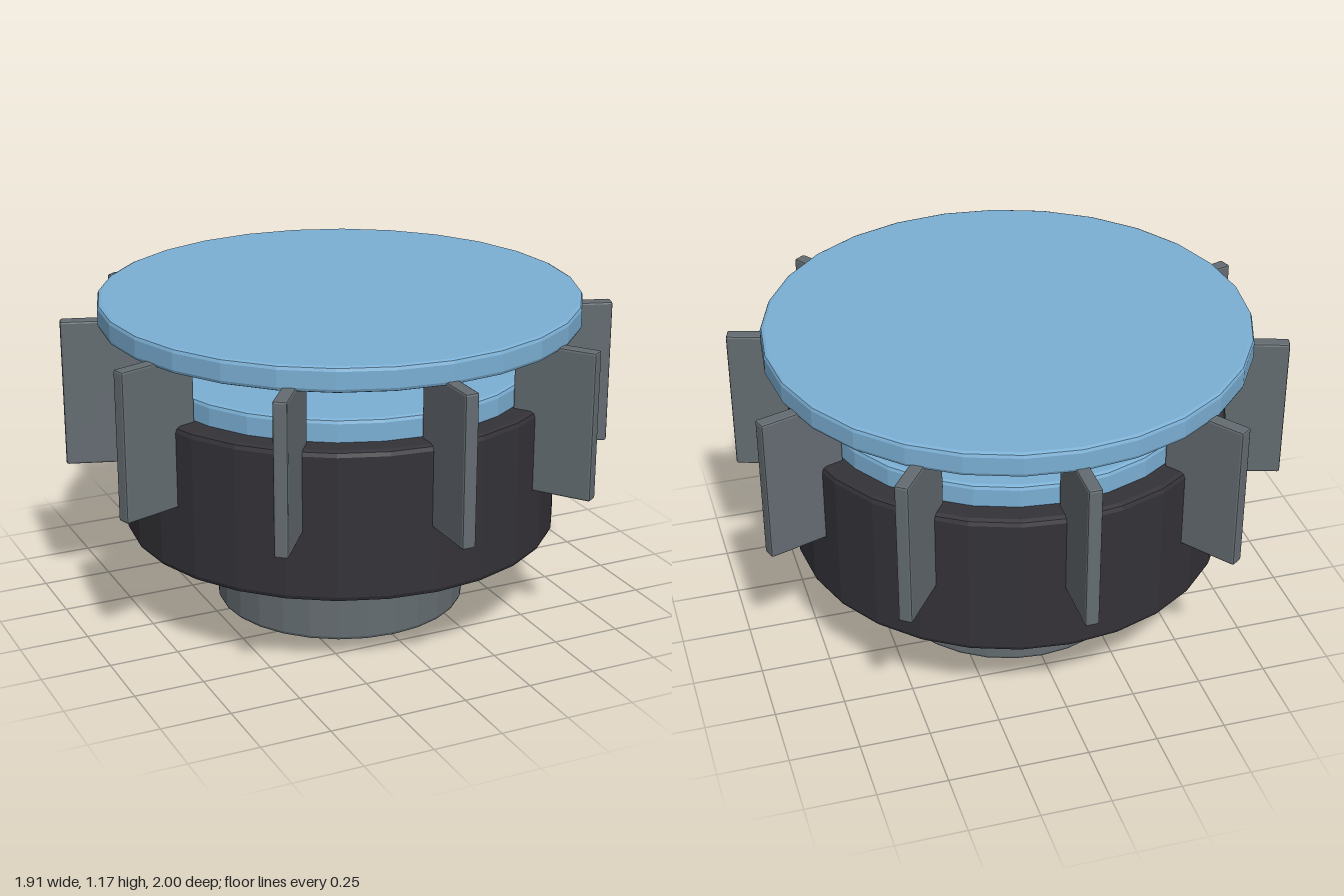
import * as THREE from 'three';
import { RoundedBoxGeometry } from 'three/addons/geometries/RoundedBoxGeometry.js';

const SIDES = 28;
const FINS = 10;

function material(name, color) {
  const m = new THREE.MeshStandardMaterial({ color, flatShading: true });
  m.name = name;
  return m;
}

// Faceted disc with softened rims, from y0 up to y1
function disc(name, radius, y0, y1, mat, bevel = 0.015) {
  const b = bevel, k = bevel * 0.3;
  const profile = [
    [0, y0], [radius - b, y0], [radius - k, y0 + k], [radius, y0 + b],
    [radius, y1 - b], [radius - k, y1 - k], [radius - b, y1], [0, y1],
  ].map(([x, y]) => new THREE.Vector2(x, y));
  const mesh = new THREE.Mesh(new THREE.LatheGeometry(profile, SIDES), mat);
  mesh.name = name;
  return mesh;
}

export function createModel() {
  const model = new THREE.Group();
  model.name = 'finnedCanister';

  const blue = material('sky blue', 0x7bafd4);
  const grey = material('steel grey', 0x646c71);
  const black = material('charcoal', 0x343238);
  const pink = material('pale mauve', 0xc8b2cb);

  // Stacked round parts
  model.add(
    disc('base', 0.46, 0, 0.305, grey),
    disc('body', 0.79, 0.305, 0.85, black, 0.02),
    disc('collar', 0.70, 0.80, 0.93, blue),
    disc('core', 0.385, 0.90, 1.10, pink, 0.01),
    disc('lid', 0.87, 1.08, 1.17, blue),
  );

  // Radial fins between body and lid
  const finGeometry = new RoundedBoxGeometry(0.05, 0.54, 0.30, 1, 0.008);
  finGeometry.translate(0, 0.825, 0.85);
  const fins = new THREE.Group();
  fins.name = 'fins';
  for (let i = 0; i < FINS; i++) {
    const fin = new THREE.Mesh(finGeometry, grey);
    fin.name = 'fin';
    fin.rotation.y = (i / FINS) * Math.PI * 2;
    fins.add(fin);
  }
  model.add(fins);

  return model;
}
